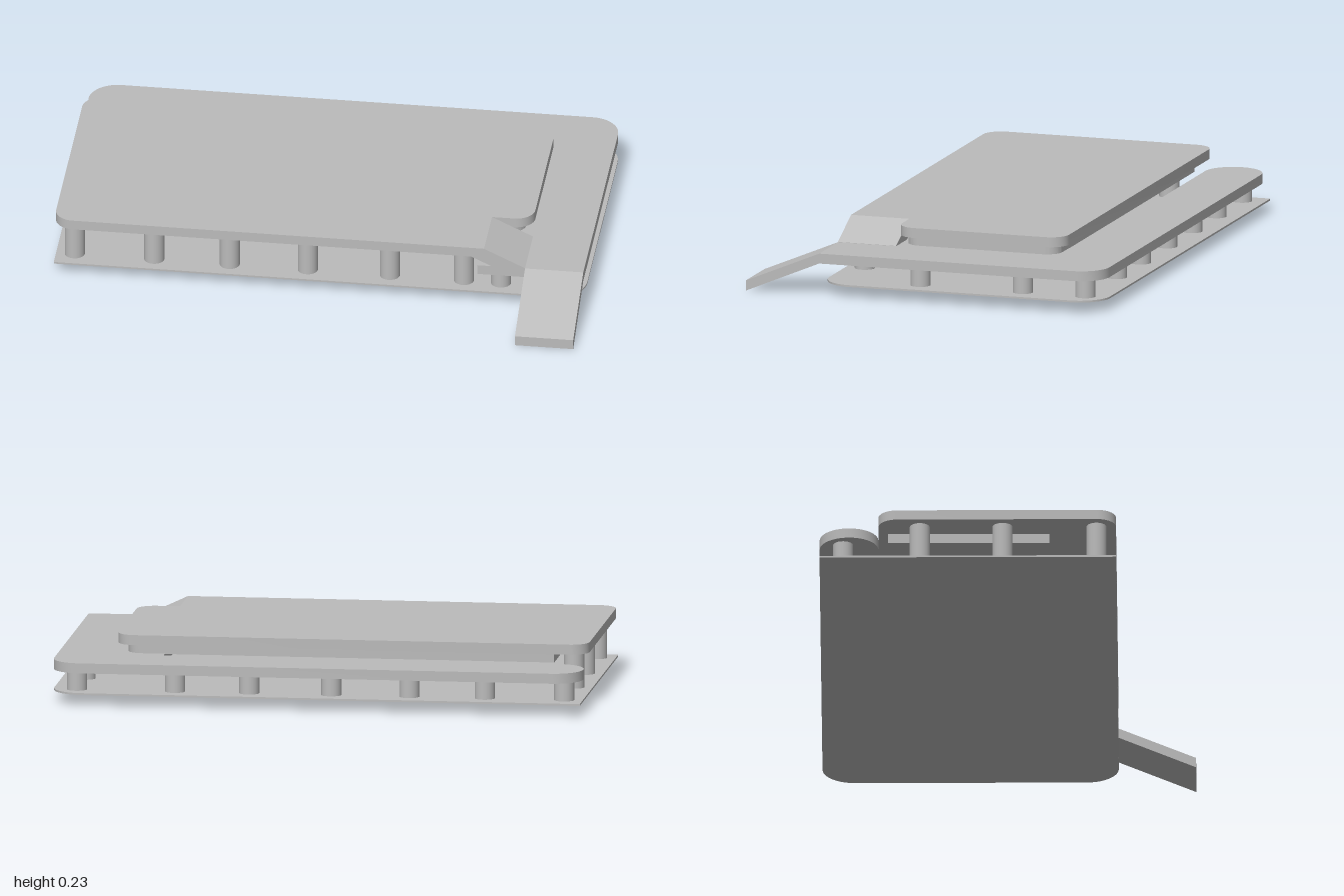
import * as THREE from 'three';
import { toCreasedNormals } from 'three/addons/utils/BufferGeometryUtils.js';

const concrete = new THREE.MeshStandardMaterial({ color: 0xbbbbbb });
concrete.name = 'concrete grey';

// Horizontal slab from corners [x, z, radius], between heights y0 and y1
function slab(name, corners, y0, y1) {
  const shape = new THREE.Shape();
  const n = corners.length;
  const k = 0.5523;
  corners.forEach(([x, z, r = 0], i) => {
    const c = new THREE.Vector2(x, -z);
    const toward = ([px, pz]) =>
      new THREE.Vector2(px, -pz).sub(c).normalize().multiplyScalar(r);
    const a = toward(corners[(i + n - 1) % n]);
    const b = toward(corners[(i + 1) % n]);
    const start = c.clone().add(a);
    const end = c.clone().add(b);
    if (i === 0) shape.moveTo(start.x, start.y);
    else shape.lineTo(start.x, start.y);
    if (r > 0) {
      const h1 = c.clone().addScaledVector(a, 1 - k);
      const h2 = c.clone().addScaledVector(b, 1 - k);
      shape.bezierCurveTo(h1.x, h1.y, h2.x, h2.y, end.x, end.y);
    }
  });
  shape.closePath();
  const geo = new THREE.ExtrudeGeometry(shape, { depth: y1 - y0, bevelEnabled: false, curveSegments: 12 });
  geo.rotateX(-Math.PI / 2).translate(0, y0, 0);
  const mesh = new THREE.Mesh(toCreasedNormals(geo, 0.5), concrete);
  mesh.name = name;
  return mesh;
}

// Sloping slab: a side profile of [u, y] points swept by width
function rampGeometry(profile, width) {
  const shape = new THREE.Shape(profile.map(([u, y]) => new THREE.Vector2(u, y)));
  return new THREE.ExtrudeGeometry(shape, { depth: width, bevelEnabled: false });
}

function column(x, z, top) {
  const bottom = 0.046;
  const mesh = new THREE.Mesh(new THREE.CylinderGeometry(0.038, 0.038, top - bottom, 24), concrete);
  mesh.position.set(x, (top + bottom) / 2, z);
  mesh.name = 'column';
  return mesh;
}

export function createModel() {
  const model = new THREE.Group();
  model.name = 'twoLevelDeck';

  // Thin ground plate, rounded on the right
  model.add(slab('groundPlate', [
    [-1, 0.41], [1, 0.41, 0.12], [1, -0.7, 0.12], [-1, -0.7],
  ], 0.041, 0.048));

  // L-shaped lower deck along the back and right
  model.add(slab('lowerDeck', [
    [0.6, 0.41], [1, 0.41], [1, -0.7, 0.11], [-1, -0.7, 0.11], [-1, -0.48, 0.109], [0.6, -0.48],
  ], 0.123, 0.161));

  // Recessed layer between the decks
  model.add(slab('recessedLayer', [
    [-0.87, 0.16], [0.745, 0.16, 0.06], [0.745, -0.445, 0.06], [-0.87, -0.445],
  ], 0.16, 0.198));

  // Upper deck, notched at the front right for the short ramp
  model.add(slab('upperDeck', [
    [-1, 0.41, 0.07], [0.625, 0.41], [0.625, 0.18], [0.78, 0.18, 0.07], [0.78, -0.48, 0.07], [-1, -0.48, 0.07],
  ], 0.197, 0.235));

  // Short ramp from the upper to the lower deck
  const upperRamp = new THREE.Mesh(rampGeometry([
    [0.57, 0.2], [0.66, 0.158], [0.78, 0.158], [0.78, 0.162], [0.625, 0.235], [0.57, 0.235],
  ].slice(0, 5), 0.23), concrete);
  upperRamp.position.z = 0.18;
  upperRamp.name = 'upperRamp';
  model.add(upperRamp);

  // Entrance ramp down to the ground
  const entranceGeo = rampGeometry([
    [0.41, 0.123], [0.7, 0], [0.7, 0.039], [0.41, 0.161],
  ], 0.22);
  entranceGeo.rotateY(-Math.PI / 2).translate(1, 0, 0);
  const entranceRamp = new THREE.Mesh(entranceGeo, concrete);
  entranceRamp.name = 'entranceRamp';
  model.add(entranceRamp);

  // Columns around the edge
  const columns = new THREE.Group();
  columns.name = 'columns';
  for (const x of [-0.93, -0.63, -0.345, -0.05, 0.26, 0.54]) {
    columns.add(column(x, 0.337, 0.2));
    columns.add(column(x, -0.612, 0.125));
  }
  for (const z of [-0.015, -0.325]) columns.add(column(-0.93, z, 0.2));
  for (const z of [0.04, -0.365, -0.612]) columns.add(column(0.91, z, 0.125));
  columns.add(column(0.68, 0.337, 0.125));
  model.add(columns);

  return model;
}
